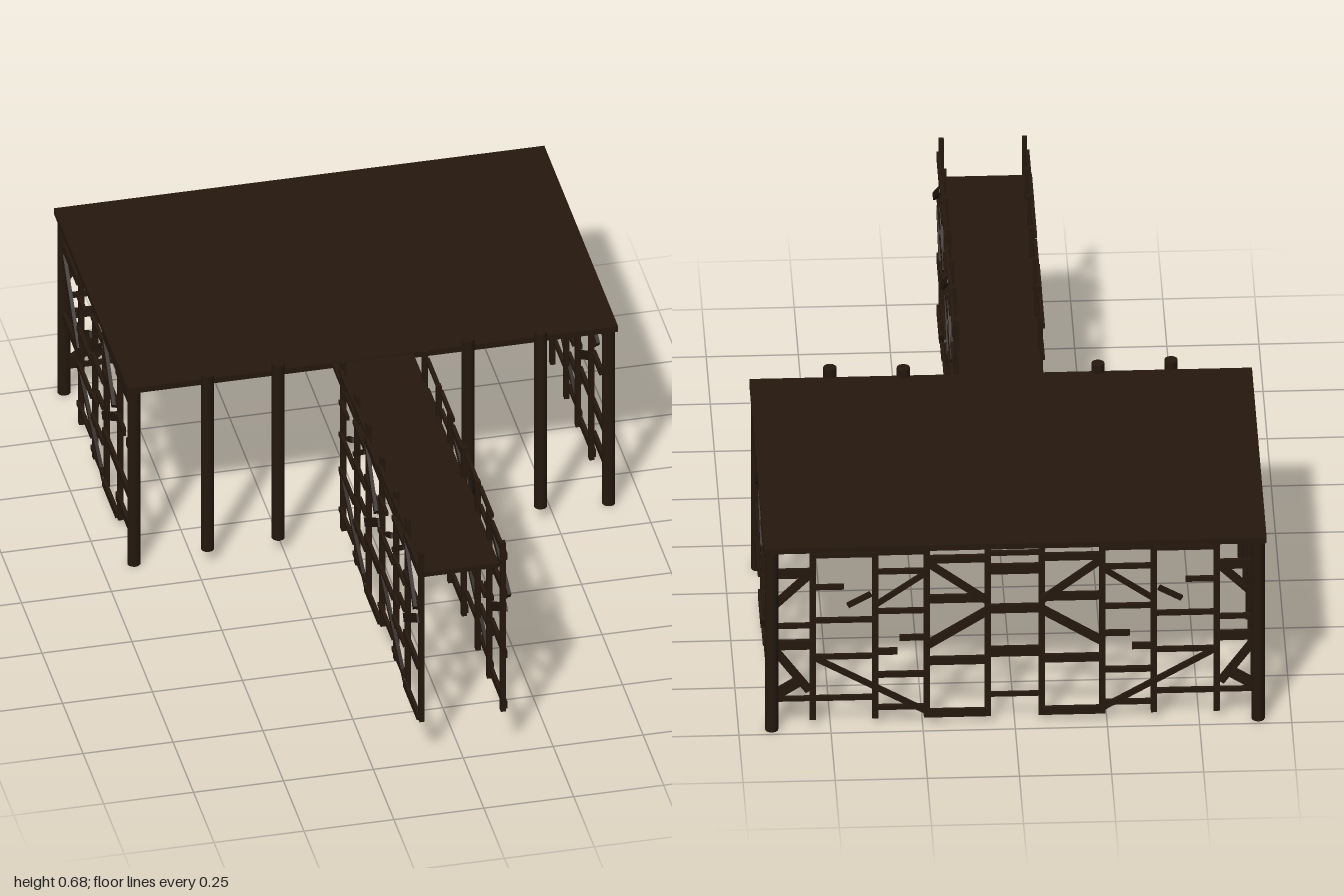
import * as THREE from 'three';

const wood = new THREE.MeshStandardMaterial({ color: 0x24180e, roughness: 0.9 });

function add(parent, name, geo, x, y, z) {
  const m = new THREE.Mesh(geo, wood);
  m.name = name;
  m.position.set(x, y, z);
  parent.add(m);
  return m;
}

// A board between two points of a wall; tilt pushes its start outward
function board(parent, name, u0, v0, u1, v1, h, tilt = 0) {
  const a = new THREE.Vector3(u0, v0, 0.008 + tilt), b = new THREE.Vector3(u1, v1, 0.008);
  const dir = b.clone().sub(a), mid = a.clone().add(b).multiplyScalar(0.5);
  const m = add(parent, name, new THREE.BoxGeometry(dir.length(), h, 0.01), mid.x, mid.y, mid.z);
  m.quaternion.setFromUnitVectors(new THREE.Vector3(1, 0, 0), dir.normalize());
}

const rails = (parent, u0, u1, list) =>
  list.forEach(([v, h]) => board(parent, 'rail', u0, v, u1, v, h));

const stud = (parent, u) =>
  add(parent, 'stud', new THREE.BoxGeometry(0.017, 0.55, 0.014), u, 0.275, 0);

// Three-bay section of rough fence work: u runs along it, v up, local z outward
function panel(lastStud = true) {
  const g = new THREE.Group();
  g.name = 'fencePanel';
  [0, 0.165, 0.305].forEach(u => stud(g, u));
  if (lastStud) stud(g, 0.475);
  rails(g, 0, 0.165, [[0.5, 0.022], [0.375, 0.024], [0.18, 0.024], [0.015, 0.024]]);
  rails(g, 0.165, 0.305, [[0.525, 0.013], [0.465, 0.014], [0.34, 0.014], [0.14, 0.016], [0.037, 0.014]]);
  rails(g, 0.305, 0.475, [[0.52, 0.013], [0.315, 0.014], [0.2, 0.014], [0.07, 0.014]]);
  // broken boards
  rails(g, 0.165, 0.24, [[0.255, 0.016]]);
  rails(g, 0.245, 0.305, [[0.213, 0.018]]);
  rails(g, 0.39, 0.475, [[0.42, 0.014]]);
  // braces
  board(g, 'brace', 0, 0.37, 0.165, 0.49, 0.02, 0.01);
  board(g, 'brace', 0, 0.335, 0.165, 0.23, 0.024);
  board(g, 'brace', 0.165, 0.46, 0.305, 0.36, 0.014);
  board(g, 'brace', 0.318, 0.395, 0.38, 0.36, 0.014);
  board(g, 'longBrace', 0.165, 0.02, 0.475, 0.2, 0.015);
  return g;
}

// Wall along -z with its outer face toward +x
function sideWall(name, x, y, z) {
  const g = new THREE.Group();
  g.name = name;
  g.position.set(x, y, z);
  g.rotation.y = Math.PI / 2;
  return g;
}

function half(side) {
  const g = new THREE.Group();
  g.name = side + 'Half';

  // walkway fence
  const fence = sideWall('walkwayFence', 0.113, 0.13, 0.985);
  const second = panel();
  second.position.x = 0.475;
  fence.add(panel(false), second);
  g.add(fence);

  // side wall of the platform
  const wall = sideWall('sideWall', 0.655, 0.02, -0.31);
  wall.add(panel());
  rails(wall, -0.19, 0, [[0.49, 0.026], [0.18, 0.026], [0.078, 0.026]]);
  rails(wall, -0.19, -0.13, [[0.34, 0.026]]);
  rails(wall, -0.085, 0, [[0.34, 0.026]]);
  rails(wall, 0.475, 0.65, [[0.465, 0.026], [0.24, 0.028]]);
  board(wall, 'brace', 0.475, 0.245, 0.65, 0.435, 0.024);
  g.add(wall);

  // half of the back wall
  const back = new THREE.Group();
  back.name = 'backWall';
  back.position.set(0.073, 0.02, -0.955);
  back.scale.z = -1;
  back.add(panel());
  rails(back, 0.475, 0.585, [[0.465, 0.028], [0.3, 0.014], [0.24, 0.028], [0.07, 0.013]]);
  board(back, 'brace', 0.475, 0.47, 0.58, 0.365, 0.022);
  board(back, 'brace', 0.485, 0.095, 0.575, 0.22, 0.022);
  board(back, 'brace', 0.505, 0.13, 0.575, 0.085, 0.03);
  g.add(back);

  // round posts
  for (const z of [-0.12, -0.972])
    add(g, 'cornerPost', new THREE.CylinderGeometry(0.018, 0.018, 0.575, 12), 0.66, 0.2875, z);
  for (const [x, z] of [[0.463, -0.088], [0.264, -0.098]])
    add(g, 'frontPost', new THREE.CylinderGeometry(0.018, 0.018, 0.57, 12), x, 0.325, z);
  return g;
}

export function createModel() {
  const model = new THREE.Group();
  model.name = 'platformWithWalkway';

  // decks
  add(model, 'platformDeck', new THREE.BoxGeometry(1.364, 0.017, 0.9), 0, 0.577, -0.55);
  add(model, 'walkwayDeck', new THREE.BoxGeometry(0.224, 0.015, 1.044), 0, 0.577, 0.423);

  const left = half('left'), right = half('right');
  right.scale.x = -1;
  model.add(left, right);

  // middle bay of the back wall
  const middle = new THREE.Group();
  middle.name = 'backWallMiddle';
  middle.position.set(0, 0.02, -0.955);
  middle.scale.z = -1;
  rails(middle, -0.073, 0.073, [[0.515, 0.013], [0.465, 0.03], [0.34, 0.026], [0.205, 0.03], [0.07, 0.012]]);
  model.add(middle);
  return model;
}
